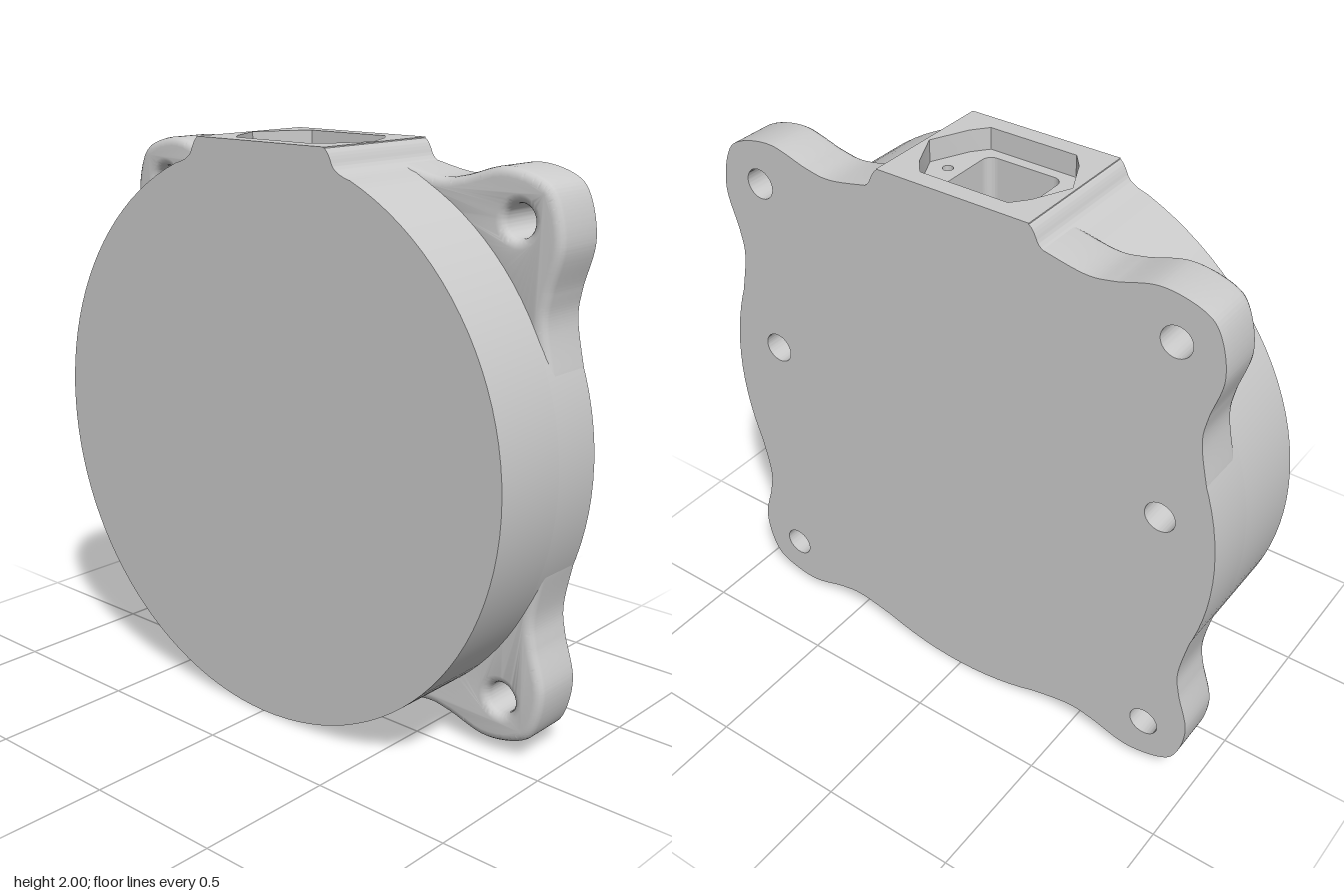
import * as THREE from 'three';
import { toCreasedNormals } from 'three/addons/utils/BufferGeometryUtils.js';

const R = 0.993, BACK = -0.25, FRONT = 0.25, SPLIT = -0.05;
const TOP = 2 - R;          // boss rim, measured from the disc centre
const SLOT = 0.285;         // half width of the boss block
const FLOOR = 0.72;         // bottom of the socket
const LEDGE = 0.93;         // hexagonal step in the socket

export function createModel() {
  const group = new THREE.Group();
  const housing = new THREE.Group();
  housing.name = 'housing';
  housing.position.y = R;
  group.add(housing);
  const material = new THREE.MeshStandardMaterial({ color: 0xcccccc });

  const add = (name, geometry, angle = 0.5) => {
    const mesh = new THREE.Mesh(toCreasedNormals(geometry, angle), material);
    mesh.name = name;
    housing.add(mesh);
    return mesh;
  };
  const circleHole = (x, y, r) => new THREE.Path().absarc(x, y, r, 0, Math.PI * 2, true);
  const slab = (shape, from, to) =>
    new THREE.ExtrudeGeometry(shape, { depth: to - from, bevelEnabled: false, curveSegments: 48 })
      .translate(0, 0, from);

  // Disc outline with shoulders rising to the boss and a slot for the socket block
  const bodyShape = () => {
    const a = Math.acos(0.39 / R);
    const s = new THREE.Shape();
    s.moveTo(-SLOT, FLOOR);
    s.lineTo(-SLOT, TOP - 0.004);
    s.quadraticCurveTo(-0.3, TOP - 0.012, -0.315, TOP - 0.05);
    s.quadraticCurveTo(-0.33, TOP - 0.08, -0.39, R * Math.sin(a));
    s.absarc(0, 0, R, Math.PI - a, Math.PI * 2 + a, false);
    s.quadraticCurveTo(0.33, TOP - 0.08, 0.315, TOP - 0.05);
    s.quadraticCurveTo(0.3, TOP - 0.012, SLOT, TOP - 0.004);
    s.lineTo(SLOT, FLOOR);
    return s;
  };
  add('frontBody', slab(bodyShape(), SPLIT, FRONT));

  // Rear half carries two blind screw holes
  const rear = bodyShape();
  for (const side of [-1, 1]) rear.holes.push(circleHole(side * 0.79, 0.14, 0.055));
  add('rearBody', slab(rear, BACK, SPLIT));

  // Four mounting lugs, front edge rounded and back face flat
  const outer = [[0.33, 0.936], [0.48, 0.907], [0.58, 0.918], [0.73, 0.957], [0.868, 0.93]];
  const points = [...outer, ...outer.map(([x, y]) => [y, x]).reverse()]
    .map(([x, y]) => new THREE.Vector2(x, y));
  const lug = new THREE.Shape();
  const r = R - 0.05, end = Math.atan2(0.33, 0.936);
  lug.moveTo(r * Math.sin(end), r * Math.cos(end));
  lug.absarc(0, 0, r, Math.PI / 2 - end, end, true);
  lug.lineTo(0.936, 0.33);
  lug.splineThru(points.reverse().slice(1));
  lug.holes.push(circleHole(0.795, 0.795, 0.054));
  const bevel = 0.03;
  const lugGeometry = new THREE.ExtrudeGeometry(lug, {
    depth: 0.16, bevelSize: bevel, bevelOffset: -bevel, bevelThickness: bevel,
    bevelSegments: 4, curveSegments: 32,
  }).translate(0, 0, BACK);
  const pos = lugGeometry.attributes.position;
  for (let i = 0; i < pos.count; i++) pos.setZ(i, Math.max(pos.getZ(i), BACK));
  for (let k = 0; k < 4; k++) add('mountingLug', lugGeometry.clone(), 0.7).rotation.z = k * Math.PI / 2;

  // Connector boss on top: hexagonal rim over a rounded square socket
  const block = () => {
    const s = new THREE.Shape();
    s.moveTo(-SLOT, BACK);
    s.lineTo(SLOT, BACK);
    s.lineTo(SLOT, FRONT);
    s.lineTo(-SLOT, FRONT);
    return s;
  };
  const upright = (shape, from, to) => slab(shape, from, to).rotateX(-Math.PI / 2);

  const rim = block();
  const hex = [[-0.272, 0], [-0.21, 0.13], [-0.165, 0.185], [0.165, 0.185], [0.21, 0.13], [0.272, 0],
    [0.21, -0.13], [0.165, -0.185], [-0.165, -0.185], [-0.21, -0.13]];
  rim.holes.push(new THREE.Path(hex.map(([x, y]) => new THREE.Vector2(x, y))));
  add('connectorRim', upright(rim, LEDGE, TOP));

  const socket = block();
  const h = 0.145, c = 0.035;
  const square = new THREE.Path();
  square.absarc(h - c, h - c, c, 0, Math.PI / 2);
  square.absarc(c - h, h - c, c, Math.PI / 2, Math.PI);
  square.absarc(c - h, c - h, c, Math.PI, Math.PI * 1.5);
  square.absarc(h - c, c - h, c, Math.PI * 1.5, Math.PI * 2);
  socket.holes.push(square);
  for (const side of [-1, 1]) socket.holes.push(circleHole(side * 0.2, 0, 0.018));
  add('connectorSocket', upright(socket, FLOOR, LEDGE));

  return group;
}
